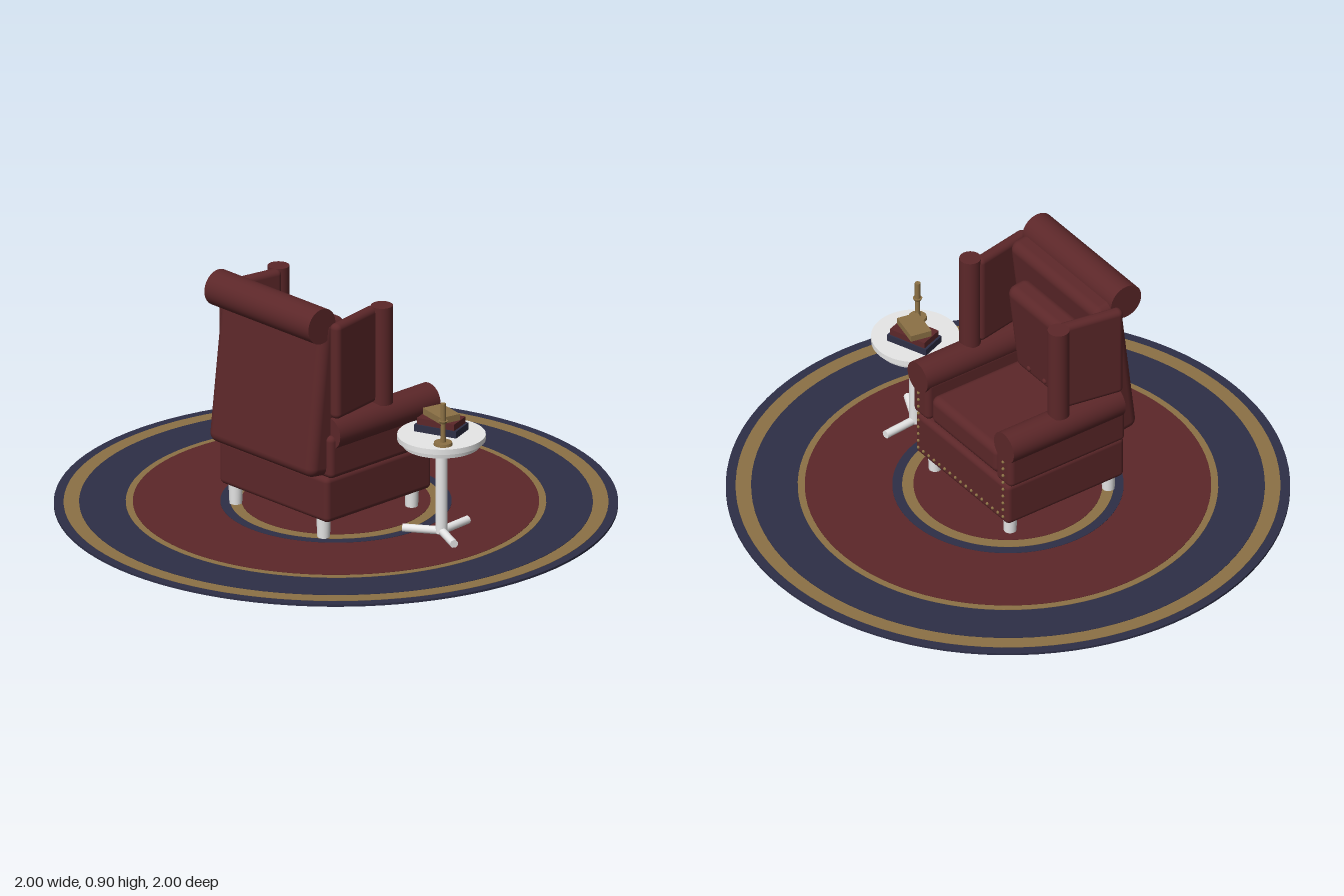
import * as THREE from 'three';
import { RoundedBoxGeometry } from 'three/addons/geometries/RoundedBoxGeometry.js';

const mat = (name, color) => Object.assign(new THREE.MeshStandardMaterial({ color }), { name });

export function createModel() {
  const red = mat('oxblood', 0x5c2729);
  const navy = mat('navy', 0x2e2f46);
  const gold = mat('old gold', 0x8c7145);
  const white = mat('painted white', 0xececec);

  const model = new THREE.Group();
  model.name = 'readingCorner';

  const add = (parent, name, geometry, material, x = 0, y = 0, z = 0) => {
    const mesh = new THREE.Mesh(geometry, material);
    mesh.name = name;
    mesh.position.set(x, y, z);
    parent.add(mesh);
    return mesh;
  };
  const group = (parent, name, x = 0, y = 0, z = 0) => {
    const g = new THREE.Group();
    g.name = name;
    g.position.set(x, y, z);
    parent.add(g);
    return g;
  };
  const soft = (w, h, d, r = 0.02) => new RoundedBoxGeometry(w, h, d, 4, r);
  const rod = (top, bottom, h, sides = 32) => new THREE.CylinderGeometry(top, bottom, h, sides);

  // Round rug: concentric discs, each a little higher than the one around it
  const rug = group(model, 'rug');
  const bands = [
    [1, navy], [0.965, gold], [0.91, navy], [0.745, gold],
    [0.72, red], [0.41, navy], [0.375, gold], [0.335, red],
  ];
  bands.forEach(([radius, material], i) => {
    const height = 0.009 + i * 0.0012;
    const bottom = 0.001 + i * 0.0005;
    add(rug, 'rugBand', rod(radius, radius, height - bottom, 96), material, 0, (height + bottom) / 2, 0);
  });
  add(rug, 'rugBacking', rod(0.8, 0.8, 0.004, 96), gold, 0, 0.002, 0);

  // Wing armchair, turned with its back to +z
  const chair = group(model, 'armchair');
  add(chair, 'seatBase', soft(0.56, 0.172, 0.515), red, 0, 0.171, 0.052);
  add(chair, 'seatCushion', soft(0.41, 0.115, 0.43, 0.03), red, 0, 0.31, 0.02);

  // Leaning back with a padded cushion and buttons
  const back = group(chair, 'back', 0, 0.555, 0.286);
  back.rotation.x = -0.12;
  add(back, 'backPanel', soft(0.54, 0.59, 0.12, 0.035), red);
  add(back, 'backCushion', soft(0.38, 0.37, 0.1, 0.035), red, 0, 0, -0.093);
  for (const x of [-0.093, 0, 0.093]) {
    const button = add(back, 'backButton', new THREE.SphereGeometry(0.011, 12, 8), red, x, -0.14, -0.144);
    button.scale.z = 0.7;
  }
  const headRoll = add(chair, 'headRoll', rod(0.066, 0.066, 0.535, 40), red, 0, 0.838, 0.323);
  headRoll.rotation.z = Math.PI / 2;

  for (const s of [-1, 1]) {
    // Arms
    add(chair, 'armPanel', soft(0.092, 0.16, 0.508), red, s * 0.249, 0.335, 0.05);
    const roll = add(chair, 'armRoll', rod(0.06, 0.06, 0.49, 32), red, s * 0.26, 0.42, 0.038);
    roll.rotation.x = Math.PI / 2;

    // Wings
    const wing = add(chair, 'wing', soft(0.045, 0.36, 0.25, 0.02), red, s * 0.267, 0.661, 0.165);
    wing.rotation.y = s * 0.18;
    add(chair, 'wingPost', rod(0.039, 0.039, 0.37), red, s * 0.266, 0.656, 0.028);

    // Legs
    for (const z of [-0.155, 0.275]) {
      add(chair, 'leg', rod(0.026, 0.022, 0.09, 24), white, s * 0.226, 0.045, z);
    }

    // Nail heads up the arm fronts
    for (let i = 0; i < 9; i++) {
      add(chair, 'armNail', new THREE.SphereGeometry(0.006, 10, 8), gold, s * 0.255, 0.115 + i * 0.03, -0.207);
    }
  }

  // Nail heads along the bottom of the seat base
  for (let i = -7; i <= 7; i++) {
    add(chair, 'baseNail', new THREE.SphereGeometry(0.006, 10, 8), gold, i * 0.032, 0.115, -0.207);
  }

  // Pedestal table
  const table = group(model, 'sideTable', 0.492, 0, -0.048);
  add(table, 'tableTop', rod(0.157, 0.157, 0.02, 64), white, 0, 0.385, 0);
  add(table, 'tableApron', rod(0.142, 0.138, 0.022, 64), white, 0, 0.365, 0);
  add(table, 'column', rod(0.022, 0.022, 0.34), white, 0, 0.19, 0);
  for (const degrees of [25, 145, 265]) {
    const foot = group(table, 'foot', 0, 0.027, 0);
    foot.rotation.y = -THREE.MathUtils.degToRad(degrees);
    const bar = add(foot, 'footBar', rod(0.015, 0.015, 0.14, 16), white, 0.07, 0, 0);
    bar.rotation.z = Math.PI / 2;
  }

  // Stack of books, the top one turned the other way
  const books = group(model, 'books', 0.468, 0.395, -0.07);
  const stack = [
    [0.165, 0.026, 0.1, 0.36, navy],
    [0.148, 0.024, 0.09, 0.34, red],
    [0.12, 0.024, 0.08, -0.2, gold],
  ];
  let level = 0;
  for (const [w, h, d, turn, material] of stack) {
    const book = add(books, 'book', new THREE.BoxGeometry(w, h, d), material, 0, level + h / 2, 0);
    book.rotation.y = turn;
    level += h;
  }

  // Candlestick
  const candlestick = group(model, 'candlestick', 0.572, 0.395, 0.02);
  add(candlestick, 'candleBase', rod(0.032, 0.034, 0.01), gold, 0, 0.005, 0);
  add(candlestick, 'candleStem', rod(0.008, 0.01, 0.08, 20), gold, 0, 0.048, 0);
  add(candlestick, 'drip', rod(0.017, 0.013, 0.009, 24), gold, 0, 0.086, 0);
  add(candlestick, 'candle', rod(0.01, 0.01, 0.066, 20), gold, 0, 0.123, 0);

  return model;
}
